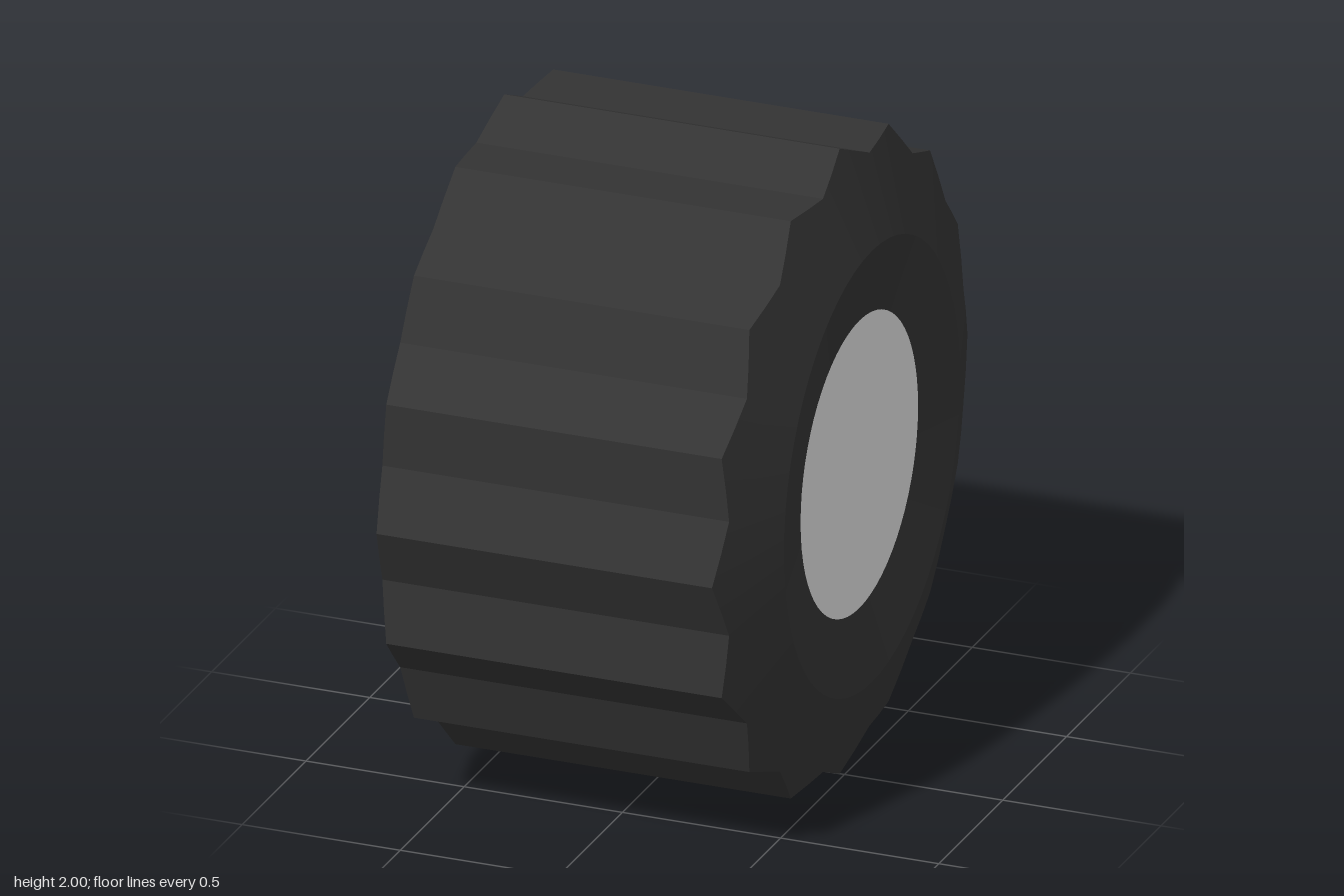
import * as THREE from 'three';

const SEGMENTS = 64; // four steps per tread lug, 16 lugs
const LUG = [1, 0.9617, 0.935, 0.9617]; // crest, flank, groove, flank
const rim = (k) => LUG[k % 4];

// Skins two rings around the x axis; r and x may be numbers or functions of the step.
function band(name, material, [x0, r0], [x1, r1], smooth) {
  const at = (v, k) => (typeof v === 'function' ? v(k) : v);
  const positions = [];
  const index = [];
  for (const [x, r] of [[x0, r0], [x1, r1]]) {
    for (let k = 0; k < SEGMENTS; k++) {
      const a = (k / SEGMENTS) * Math.PI * 2;
      positions.push(at(x, k), at(r, k) * Math.cos(a), at(r, k) * Math.sin(a));
    }
  }
  const point = (i) => new THREE.Vector3().fromArray(positions, i * 3);
  const addFace = (a, b, c) => {
    const area = new THREE.Triangle(point(a), point(b), point(c)).getArea();
    if (area > 1e-7) index.push(a, b, c);
  };
  for (let i = 0; i < SEGMENTS; i++) {
    const j = (i + 1) % SEGMENTS;
    addFace(i, j, SEGMENTS + i);
    addFace(j, SEGMENTS + j, SEGMENTS + i);
  }
  let geometry = new THREE.BufferGeometry();
  geometry.setAttribute('position', new THREE.Float32BufferAttribute(positions, 3));
  geometry.setIndex(index);
  if (!smooth) geometry = geometry.toNonIndexed();
  geometry.computeVertexNormals();
  const mesh = new THREE.Mesh(geometry, material);
  mesh.name = name;
  return mesh;
}

export function createModel() {
  const rubber = new THREE.MeshStandardMaterial({ color: 0x333333 });
  rubber.name = 'dark rubber';
  const metal = new THREE.MeshStandardMaterial({ color: 0xe0e0e0 });
  metal.name = 'light hub';

  // Lug ends lean back along shallow cones on both sides
  const innerX = (k) => -0.59 + (rim(k) - 0.935) * 0.23;
  const outerX = (k) => 0.485 + (1 - rim(k)) * 0.32;

  const wheel = new THREE.Group();
  wheel.name = 'wheel';
  wheel.position.y = 1;
  wheel.add(
    band('innerFace', rubber, [-0.59, 0], [-0.59, 0.935]),
    band('innerLugBevel', rubber, [-0.59, 0.935], [innerX, rim]),
    band('tread', rubber, [innerX, rim], [outerX, rim]),
    band('outerSidewall', rubber, [outerX, rim], [0.587, 0.69], true),
    band('dishedRing', rubber, [0.587, 0.69], [0.547, 0.46], true),
    band('hubDisc', metal, [0.547, 0.46], [0.547, 0]),
  );

  const model = new THREE.Group();
  model.name = 'model';
  model.add(wheel);
  return model;
}
